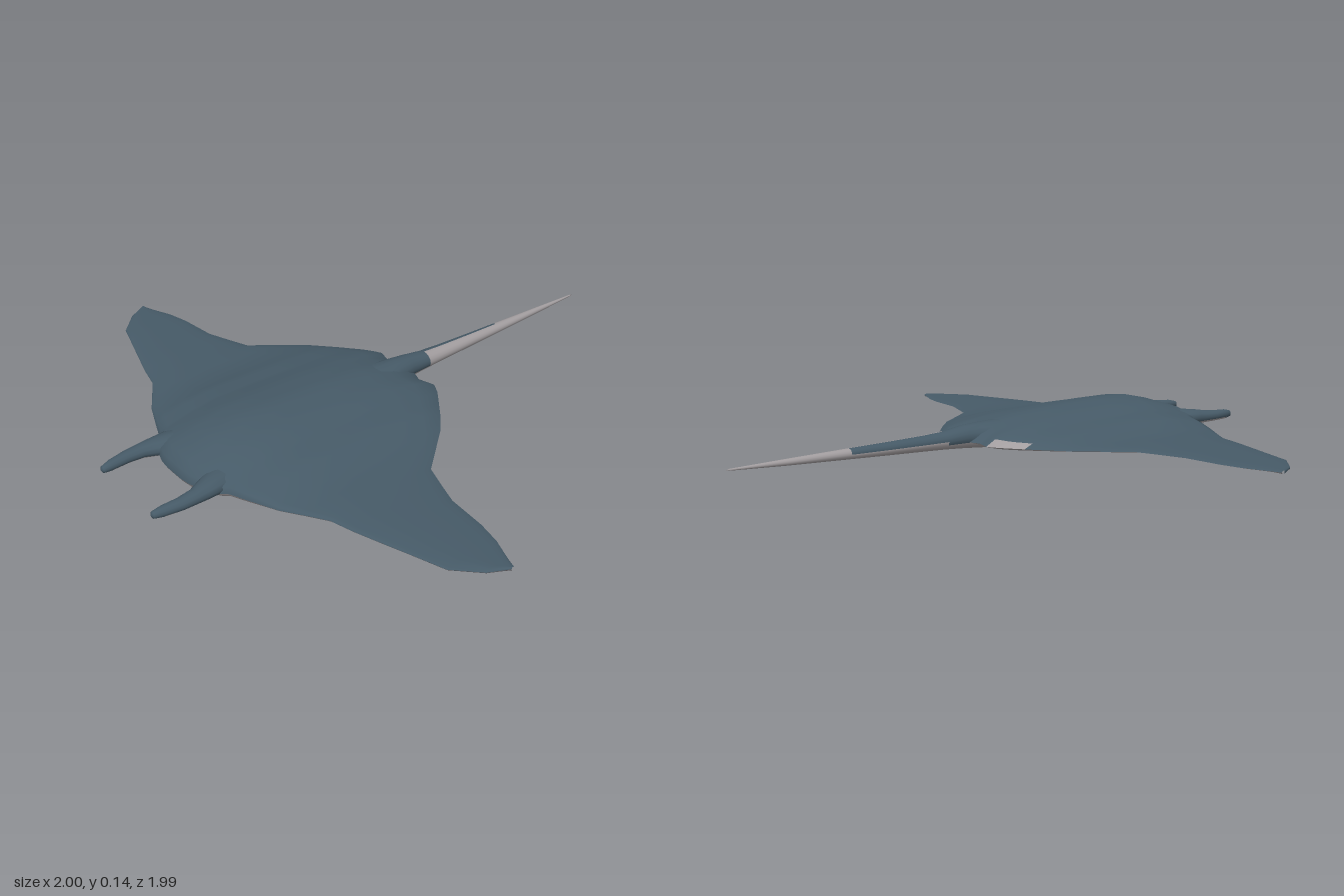
import * as THREE from 'three';
import { mergeVertices } from 'three/addons/utils/BufferGeometryUtils.js';

const mat = (name, color) => new THREE.MeshStandardMaterial({ name, color });

// Linear lookup in a list of [position, value] pairs
function lookup(pairs, p) {
  for (let i = 1; i < pairs.length; i++) {
    const [a, va] = pairs[i - 1], [b, vb] = pairs[i];
    if (p <= b) return va + (vb - va) * Math.max(0, (p - a) / (b - a));
  }
  return pairs[pairs.length - 1][1];
}

// Smooth surface over a grid; paint(centre) picks the material index of each cell
function surface(name, rows, cols, point, paint, materials, flip = false) {
  const pts = [], cells = materials.map(() => []);
  for (let i = 0; i < rows; i++) for (let j = 0; j < cols; j++) pts.push(point(i, j));
  for (let i = 0; i < rows - 1; i++) for (let j = 0; j < cols - 1; j++) {
    const a = i * cols + j, b = a + cols, c = a + 1, d = b + 1;
    const mid = new THREE.Vector3();
    [a, b, c, d].forEach(k => mid.addScaledVector(pts[k], 0.25));
    cells[paint(mid, i, j)].push(...(flip ? [a, c, b, b, c, d] : [a, b, c, b, d, c]));
  }
  let geo = new THREE.BufferGeometry().setFromPoints(pts);
  geo.setIndex(cells.flat());
  let start = 0;
  cells.forEach((list, k) => {
    if (list.length) geo.addGroup(start, list.length, k);
    start += list.length;
  });
  geo = mergeVertices(geo, 1e-5);
  geo.computeVertexNormals();
  const mesh = new THREE.Mesh(geo, materials);
  mesh.name = name;
  return mesh;
}

// Tapered body along x from rings [x, y, z, halfHeight, halfWidth]
function taper(name, rings, paint, materials, sides = 16) {
  return surface(name, sides + 1, rings.length, (i, j) => {
    const [x, y, z, ry, rz] = rings[j];
    const a = ((i % sides) / sides) * Math.PI * 2;
    return new THREE.Vector3(x, y - Math.sin(a) * ry, z + Math.cos(a) * rz);
  }, paint, materials);
}

// Half outline: [distance from the midline, leading x, trailing x]
const outline = [
  [0, -0.825, 0.14], [0.04, -0.825, 0.14], [0.08, -0.82, 0.125], [0.11, -0.81, 0.133],
  [0.14, -0.8, 0.142], [0.18, -0.775, 0.12], [0.2, -0.755, 0.105], [0.25, -0.735, 0.065],
  [0.29, -0.718, 0.033], [0.36, -0.688, -0.03], [0.43, -0.643, -0.115], [0.5, -0.6, -0.2],
  [0.58, -0.58, -0.23], [0.66, -0.555, -0.258], [0.8, -0.51, -0.272], [0.88, -0.485, -0.29],
  [0.96, -0.41, -0.322], [0.995, -0.345, -0.334],
];
const stations = [
  ...outline.slice(1).reverse().map(([d, a, b]) => [-d, a, b]), ...outline,
];
// Highest and lowest points across the span, and the shape along the chord
const crest = [[0, 0.147], [0.1, 0.135], [0.2, 0.108], [0.27, 0.1], [0.36, 0.068], [0.5, 0.061], [1, 0.052]];
const belly = [[0, 0.004], [0.2, 0.012], [0.36, 0.03], [0.5, 0.035], [1, 0.04]];
const arch = [[0, 0], [0.008, 0.32], [0.04, 0.5], [0.14, 0.78], [0.25, 1], [0.4, 0.97], [0.6, 0.87],
  [0.78, 0.73], [0.9, 0.5], [0.96, 0.28], [1, 0]];
const EDGE = 0.046;

export function createModel() {
  const slate = mat('slate back', 0x465a67);
  const pale = mat('pale underside', 0xa29d9f);
  const dusk = mat('dark fin tip', 0x77757a);
  const colours = [slate, pale, dusk];
  const group = new THREE.Group();
  group.name = 'ray';

  // Back and underside of the wide disc
  const sheet = (heights) => (i, j) => {
    const [z, lead, trail] = stations[i];
    const [t, f] = arch[j];
    const h = lookup(heights, Math.abs(z));
    return new THREE.Vector3(lead + (trail - lead) * t, EDGE + (h - EDGE) * f, z);
  };
  group.add(surface('back', stations.length, arch.length, sheet(crest),
    (m, i, j) => (j === arch.length - 2 && m.z < -0.13 && m.z > -0.23 ? 1 : 0), colours));
  group.add(surface('underside', stations.length, arch.length, sheet(belly),
    (m) => (m.z > 0.8 ? 2 : m.z < -0.88 && m.x < -0.36 ? 0 : 1), colours, true));

  // Long tail, slate near the root and along one flank
  const tail = [
    [-0.15, 0.06, 0, 0.045, 0.1], [0, 0.06, 0, 0.047, 0.075], [0.08, 0.06, 0, 0.044, 0.055],
    [0.14, 0.06, 0, 0.04, 0.043], [0.22, 0.055, 0, 0.031, 0.037], [0.3, 0.053, 0, 0.027, 0.032],
    [0.45, 0.051, 0, 0.022, 0.026], [0.58, 0.05, 0, 0.018, 0.021], [0.8, 0.048, 0, 0.011, 0.011],
    [0.99, 0.047, 0, 0.003, 0.003], [1, 0.047, 0, 0, 0],
  ];
  group.add(taper('tail', tail, (m) => {
    const upper = m.y > 0.05;
    return upper && (m.x < 0.22 || (m.z < 0 && m.x < 0.58)) ? 0 : 1;
  }, colours));

  // Pair of head fins beside the mouth
  for (const s of [1, -1]) {
    const fin = [
      [-0.998, 0.055, 0.148, 0, 0], [-0.992, 0.055, 0.148, 0.012, 0.011],
      [-0.96, 0.056, 0.152, 0.018, 0.018], [-0.9, 0.057, 0.158, 0.02, 0.024],
      [-0.85, 0.058, 0.156, 0.023, 0.028], [-0.81, 0.059, 0.147, 0.028, 0.038],
      [-0.75, 0.06, 0.13, 0.033, 0.055], [-0.66, 0.06, 0.11, 0.03, 0.05],
    ].map(([x, y, z, ry, rz]) => [x, y, z * s, ry, rz]);
    group.add(taper(s > 0 ? 'headFinFront' : 'headFinBack', fin,
      (m) => (m.y > 0.046 || m.x < -0.95 ? 0 : 1), colours, 12));
  }
  return group;
}
